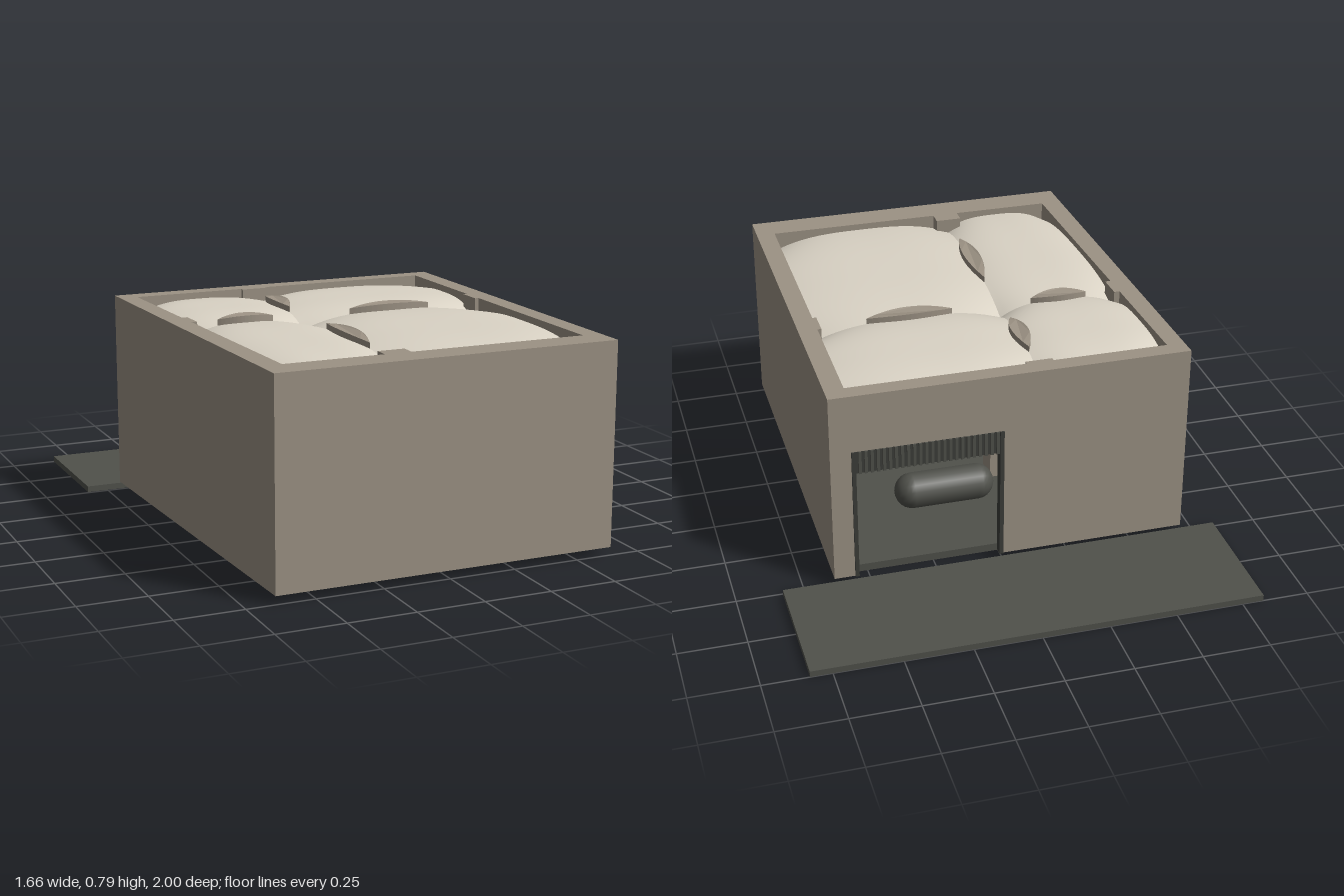
import * as THREE from 'three';

const paint = (name, color, double) => {
  const m = new THREE.MeshStandardMaterial({ color });
  m.name = name;
  if (double) m.side = THREE.DoubleSide;
  return m;
};

export function createModel() {
  const stone = paint('stone', 0x9c9284);
  const plaster = paint('plaster', 0xdad3c5, true);
  const slate = paint('slate', 0x50514b);
  const iron = paint('iron', 0x3c3d39);

  const model = new THREE.Group();
  model.name = 'vaultedHouse';

  const add = (name, geometry, material, parent = model) => {
    const mesh = new THREE.Mesh(geometry, material);
    mesh.name = name;
    parent.add(mesh);
    return mesh;
  };
  const box = (name, x0, x1, y0, y1, z0, z1, material, parent) =>
    add(name, new THREE.BoxGeometry(x1 - x0, y1 - y0, z1 - z0), material, parent)
      .position.set((x0 + x1) / 2, (y0 + y1) / 2, (z0 + z1) / 2);

  // Extrudes a plan given as [x, z] points between two heights
  const plan = (pts) => pts.map(([x, z]) => new THREE.Vector2(x, -z));
  const raise = (outline, y0, y1, hole) => {
    const shape = new THREE.Shape(plan(outline));
    if (hole) shape.holes.push(new THREE.Path(plan(hole)));
    return new THREE.ExtrudeGeometry(shape, { depth: y1 - y0, bevelEnabled: false })
      .rotateX(-Math.PI / 2).translate(0, y0, 0);
  };

  const FLOOR = 0.03, LINTEL = 0.555, TOP = 0.78;
  const BACK = -0.435, FRONT = 0.885, RIGHT = 0.565, MX = -0.15, MZ = 0.07;
  const DOOR0 = 0, DOOR1 = 0.558;
  const leftAt = (z) => -0.63 + 0.06 * (z - BACK) / (FRONT - BACK);

  // Room outline with a notch for each wall pier
  const room = [
    [DOOR0, BACK], [-0.1, BACK], [-0.1, -0.42], [-0.2, -0.42], [-0.2, BACK], [leftAt(BACK), BACK],
    [leftAt(0.02), 0.02], [-0.588, 0.02], [-0.584, 0.115], [leftAt(0.115), 0.115],
    [leftAt(FRONT), FRONT], [-0.2, FRONT], [-0.2, 0.83], [-0.1, 0.83], [-0.1, FRONT], [RIGHT, FRONT],
    [RIGHT, 0.115], [0.55, 0.115], [0.55, 0.02], [RIGHT, 0.02], [RIGHT, BACK], [DOOR1, BACK],
  ];
  const outer = [[-0.7, -0.5], [-0.645, 1], [0.637, 1], [0.637, -0.5]];

  // Walls: open at the doorway below the lintel, a closed ring above
  add('lowerWalls', raise(
    [[DOOR0, -0.5], ...outer, [DOOR1, -0.5], ...[...room].reverse()], FLOOR, LINTEL), stone);
  add('upperWalls', raise(outer, LINTEL, TOP, room), stone);
  add('floor', raise(room, 0, FLOOR), slate);
  box('terraceSlab', -0.83, 0.83, 0, 0.023, -1, -0.508, slate);

  // Doorway frame with a barred grille over the opening
  const door = new THREE.Group();
  door.name = 'doorway';
  model.add(door);
  box('doorJamb', 0, 0.015, FLOOR, LINTEL, -0.506, -0.47, iron, door);
  box('doorJamb', 0.545, 0.56, FLOOR, LINTEL, -0.506, -0.47, iron, door);
  box('grillePanel', 0.015, 0.545, 0.465, LINTEL, -0.498, -0.475, iron, door);
  for (let i = 0; i < 24; i++) {
    const x = 0.018 + i * 0.022;
    box('grilleBar', x, x + 0.011, 0.465, LINTEL, -0.506, -0.498, slate, door);
  }

  // Four cushion vaults, low at the corners and arched along each side
  const arch = (t) => 1 - Math.abs(2 * t - 1) ** 3;
  const N = 24;
  const vault = (xa, xb, z0, z1) => {
    const pos = [], index = [];
    for (let j = 0; j <= N; j++) {
      for (let i = 0; i <= N; i++) {
        const u = i / N, v = j / N, z = z0 + (z1 - z0) * v;
        const a = arch(u), b = arch(v);
        pos.push(xa(z) + (xb(z) - xa(z)) * u, 0.705 + 0.05 * (a + b) - 0.03 * a * b, z);
        if (i < N && j < N) {
          const k = j * (N + 1) + i;
          index.push(k, k + N + 1, k + 1, k + 1, k + N + 1, k + N + 2);
        }
      }
    }
    const g = new THREE.BufferGeometry();
    g.setAttribute('position', new THREE.Float32BufferAttribute(pos, 3));
    g.setIndex(index);
    g.computeVertexNormals();
    return g;
  };
  const middle = () => MX, right = () => RIGHT;
  for (const [z0, z1] of [[BACK, MZ], [MZ, FRONT]]) {
    add('leftVault', vault(leftAt, middle, z0, z1), plaster);
    add('rightVault', vault(middle, right, z0, z1), plaster);
  }

  // Arched rib below each seam, with a lens-shaped crown showing through
  const ribs = (name, t0, t1, lens0, lens1, alongX) => {
    const curve = [];
    for (let i = 0; i <= 16; i++) {
      const t = i / 16;
      curve.push(new THREE.Vector2(t0 + (t1 - t0) * t, 0.695 + 0.05 * arch(t)));
    }
    const under = curve.map((p) => new THREE.Vector2(p.x, p.y - 0.06)).reverse();
    const rib = new THREE.ExtrudeGeometry(new THREE.Shape([...curve, ...under]),
      { depth: 0.09, bevelEnabled: false }).translate(0, 0, -0.045);

    const mid = (lens0 + lens1) / 2, half = (lens1 - lens0) / 2, rim = [];
    for (let i = 0; i < 32; i++) {
      const s = i < 16 ? -1 + i / 8 : 1 - (i - 16) / 8;
      rim.push([mid + s * half, (i < 16 ? 1 : -1) * 0.032 * (1 - s * s)]);
    }
    const crown = raise(rim, 0.73, 0.772);
    const p = crown.attributes.position;
    for (let i = 0; i < p.count; i++) {
      const s = (p.getX(i) - mid) / half;
      if (p.getY(i) > 0.75) p.setY(i, 0.772 + 0.013 * (1 - s * s));
    }
    crown.computeVertexNormals();
    for (const [part, g] of [['Rib', rib], ['Crown', crown]]) {
      if (alongX) g.translate(0, 0, MZ);
      else g.rotateY(-Math.PI / 2).translate(MX, 0, 0);
      add(name + part, g, stone);
    }
  };
  ribs('left', -0.6, MX, -0.49, -0.27, true);
  ribs('right', MX, RIGHT, 0.04, 0.37, true);
  ribs('back', BACK, MZ, -0.3, -0.06, false);
  ribs('front', MZ, FRONT, 0.29, 0.66, false);

  // Interior: central pier and a low round bolster
  box('centralPier', -0.2, -0.1, FLOOR, 0.7, 0.02, 0.12, stone);
  add('bolster', new THREE.CapsuleGeometry(0.07, 0.25, 6, 16).rotateZ(Math.PI / 2)
    .translate(0.12, 0.1, -0.1), slate);

  return model;
}
